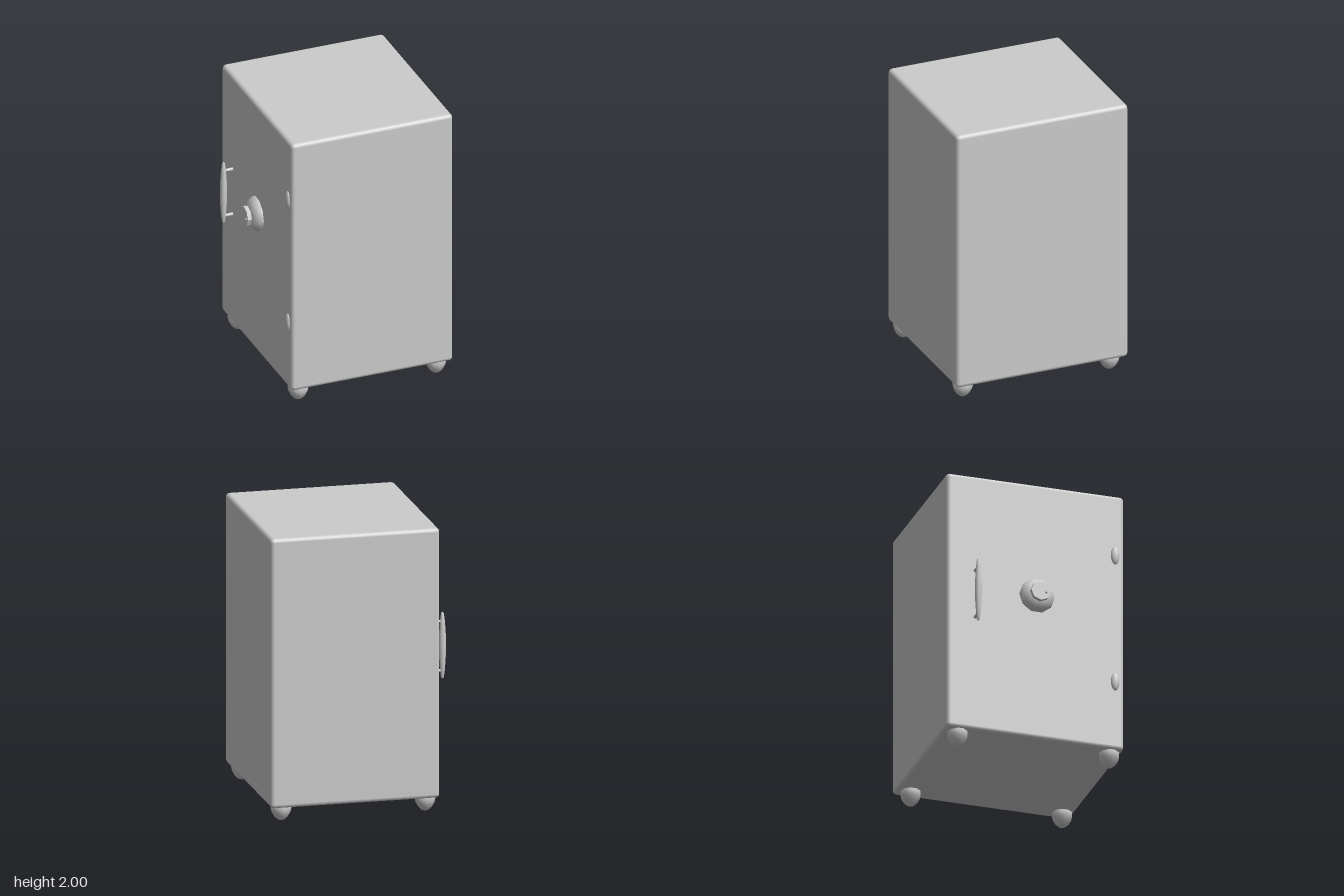
import * as THREE from 'three';
import { RoundedBoxGeometry } from 'three/addons/geometries/RoundedBoxGeometry.js';

const material = new THREE.MeshStandardMaterial({ color: 0xcccccc, side: THREE.DoubleSide });
const DOOR_X = -0.54; // plane of the door face, which looks towards -x

function add(parent, name, geometry, x = 0, y = 0, z = 0) {
  const mesh = new THREE.Mesh(geometry, material);
  mesh.name = name;
  mesh.position.set(x, y, z);
  parent.add(mesh);
  return mesh;
}

// Lathe from [radius, height] pairs
function lathe(profile, segments) {
  return new THREE.LatheGeometry(profile.map(([r, h]) => new THREE.Vector2(r, h)), segments);
}

// Lays a +y geometry down so it points out of the door (-x)
const outward = (geometry) => geometry.rotateZ(Math.PI / 2);

export function createModel() {
  const safe = new THREE.Group();
  safe.name = 'safe';

  // Cabinet with softened edges
  add(safe, 'cabinet', new RoundedBoxGeometry(1.18, 1.89, 1.265, 2, 0.028), 0.05, 1.055, 0);

  // Four stubby rounded feet
  const footShape = lathe([[0, 0.005], [0.025, 0.01], [0.047, 0.03], [0.066, 0.065], [0.072, 0.095], [0.066, 0.13]], 10);
  for (const x of [-0.46, 0.545]) {
    for (const z of [-0.53, 0.55]) add(safe, 'foot', footShape, x, 0, z);
  }

  // Combination dial: faceted dome, octagonal knob and a small pointer pin
  const dial = new THREE.Group();
  dial.name = 'dial';
  dial.position.set(DOOR_X, 1.17, 0.008);
  safe.add(dial);
  const dome = lathe([[0.124, -0.01], [0.124, 0.012], [0.106, 0.036], [0.072, 0.066], [0, 0.07]], 10);
  add(dial, 'dialDome', outward(dome));
  const knob = new THREE.CylinderGeometry(0.07, 0.07, 0.03, 8).toNonIndexed();
  knob.computeVertexNormals();
  add(dial, 'dialKnob', outward(knob), -0.08, 0, 0);
  add(dial, 'dialPointer', new THREE.SphereGeometry(0.009, 8, 6), -0.095, -0.008, 0.036);

  // Pull handle: spindle-shaped grip on two posts
  const handle = new THREE.Group();
  handle.name = 'handle';
  handle.position.set(DOOR_X, 1.125, -0.43);
  safe.add(handle);
  const grip = lathe([[0, -0.235], [0.01, -0.225], [0.017, -0.17], [0.023, -0.08], [0.025, 0],
    [0.023, 0.08], [0.017, 0.17], [0.01, 0.225], [0, 0.235]], 10);
  add(handle, 'handleGrip', grip, -0.067, 0, 0);
  const post = outward(new THREE.CylinderGeometry(0.009, 0.013, 0.08, 8));
  for (const y of [-0.177, 0.168]) add(handle, 'handlePost', post, -0.03, y, 0);

  // Two oval hinge caps, half sunk into the door
  const hinge = new THREE.SphereGeometry(1, 12, 10).scale(0.02, 0.066, 0.031);
  for (const y of [0.613, 1.553]) add(safe, 'hinge', hinge, DOOR_X, y, 0.567);

  return safe;
}
